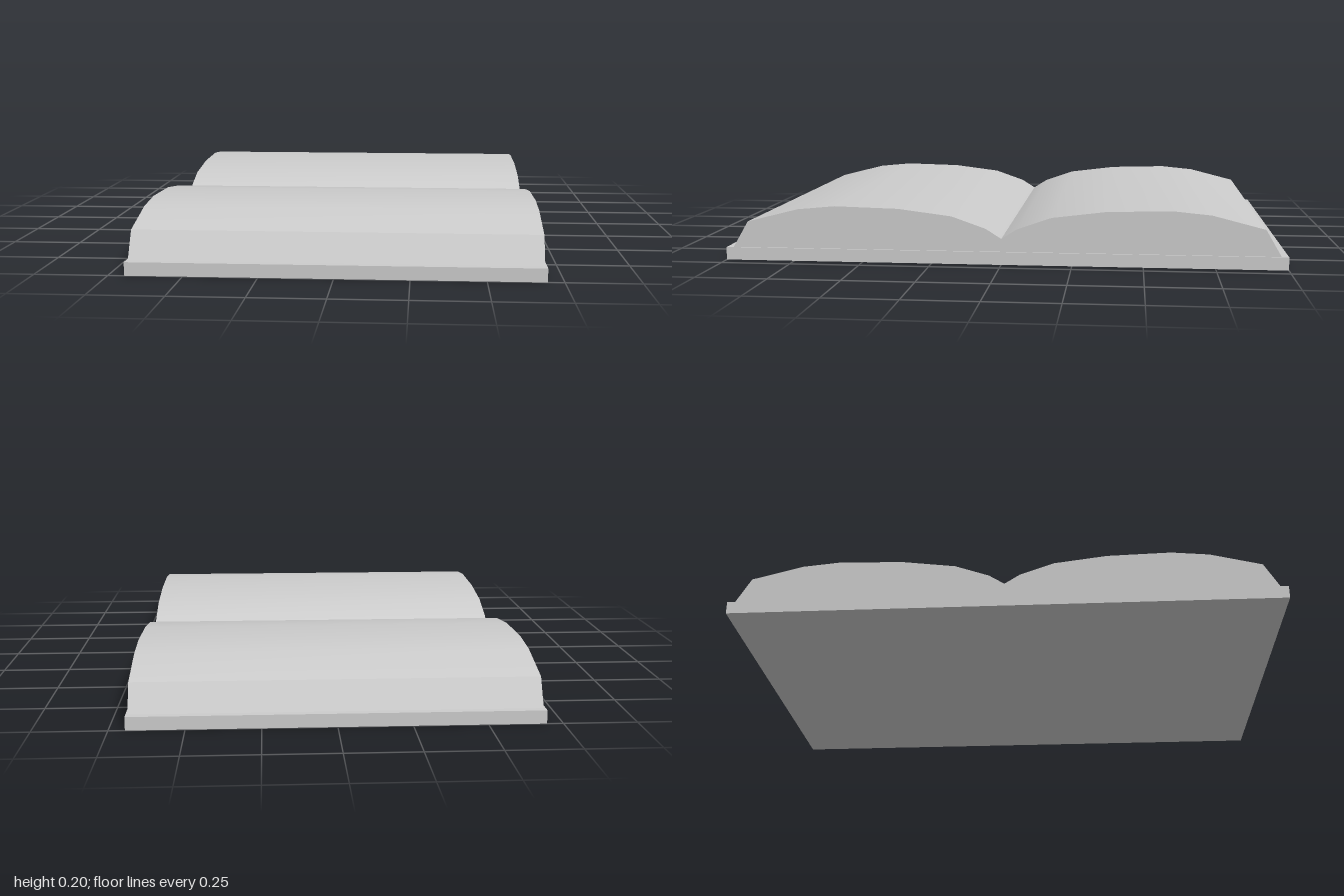
import * as THREE from 'three';
import { toCreasedNormals } from 'three/addons/utils/BufferGeometryUtils.js';

const COVER_HEIGHT = 0.046;
const PAGE_WIDTH = 1.376;

// Half of the page profile as [z, y], from the outer foot to the central gutter
const HALF_PROFILE = [
  [0.975, COVER_HEIGHT], [0.92, 0.14], [0.735, 0.187], [0.6, 0.2],
  [0.37, 0.194], [0.178, 0.17], [0.055, 0.127], [0, 0.092],
];

export function createModel() {
  const group = new THREE.Group();
  group.name = 'openBook';
  const material = new THREE.MeshStandardMaterial({ color: 0xcccccc });

  // Flat cover board
  const coverGeometry = new THREE.BoxGeometry(1.39, COVER_HEIGHT, 2);
  coverGeometry.translate(0, COVER_HEIGHT / 2, 0);
  const cover = new THREE.Mesh(coverGeometry, material);
  cover.name = 'cover';
  group.add(cover);

  // Two arched stacks of pages: the half profile mirrored about the gutter
  const mirrored = HALF_PROFILE.slice(0, -1).reverse().map(([z, y]) => [-z, y]);
  const outline = [...HALF_PROFILE, ...mirrored].map(([z, y]) => new THREE.Vector2(z, y));
  const extruded = new THREE.ExtrudeGeometry(new THREE.Shape(outline), {
    depth: PAGE_WIDTH, bevelEnabled: false,
  });
  extruded.translate(0, 0, -PAGE_WIDTH / 2);
  extruded.rotateY(-Math.PI / 2);
  const pages = new THREE.Mesh(toCreasedNormals(extruded, 0.5), material);
  pages.name = 'pages';
  group.add(pages);

  return group;
}
